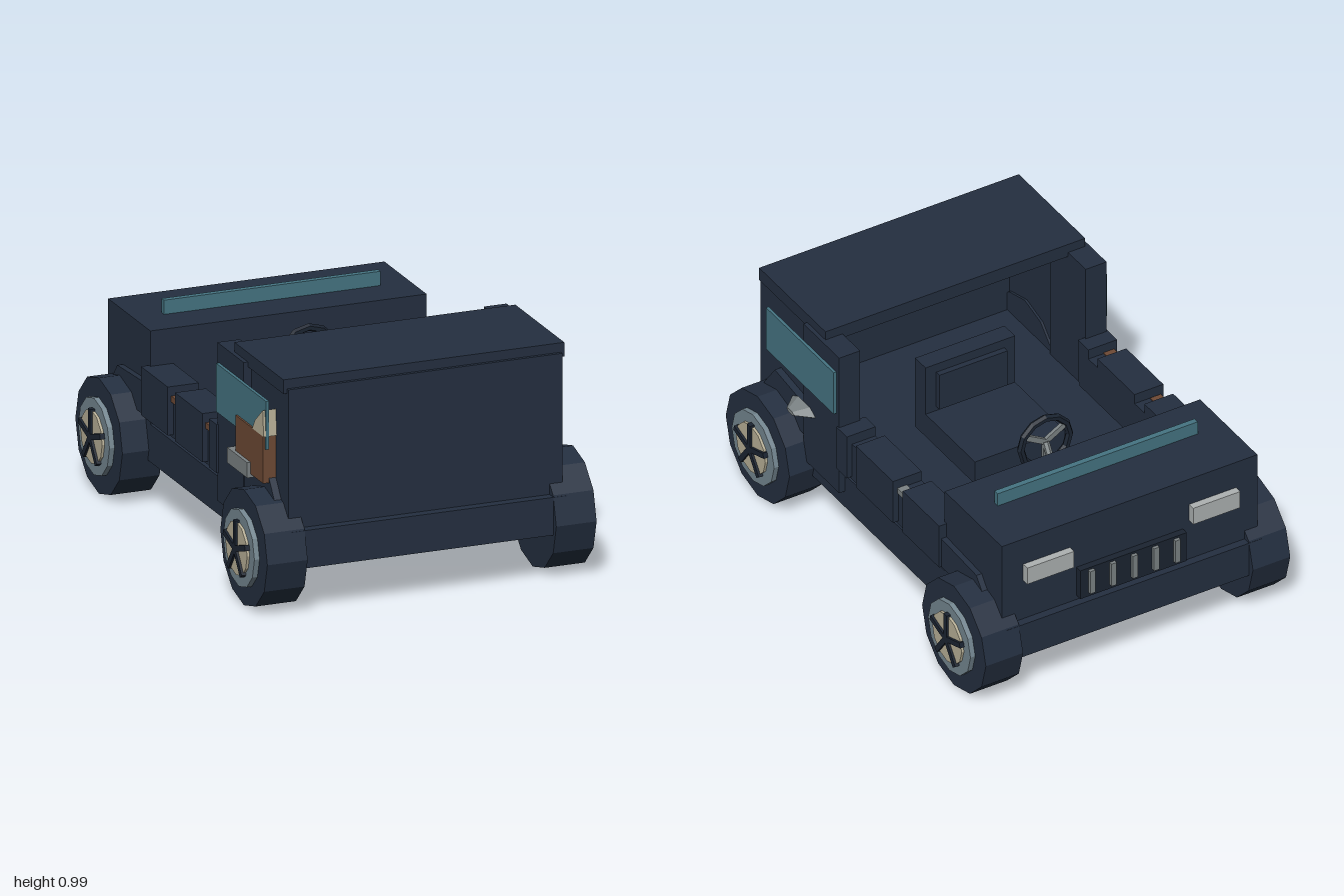
import * as THREE from 'three';

const mat = (name, color, extra = {}) =>
  Object.assign(new THREE.MeshStandardMaterial({ color, flatShading: true, ...extra }), { name });

export function createModel() {
  const car = new THREE.Group();
  car.name = 'openTruck';
  const navy = mat('navy', 0x242f40);
  const dark = mat('darkTrim', 0x1b2431);
  const teal = mat('tealGlass', 0x457482);
  const cream = mat('cream', 0xb8b097);
  const steel = mat('steelBlue', 0x748690);
  const grey = mat('grey', 0x7b8284);
  const lamp = mat('lampGrey', 0xadb2b2);
  const brown = mat('brown', 0x6e4a35);

  const add = (name, geo, material, parent = car) => {
    const m = new THREE.Mesh(geo, material);
    m.name = name;
    parent.add(m);
    return m;
  };
  // box given by its limits on each axis
  const box = (name, material, x0, x1, y0, y1, z0, z1, parent = car) => {
    const m = add(name, new THREE.BoxGeometry(x1 - x0, y1 - y0, z1 - z0), material, parent);
    m.position.set((x0 + x1) / 2, (y0 + y1) / 2, (z0 + z1) / 2);
    return m;
  };
  // the same box on both sides of the car
  const pair = (name, material, x0, x1, ...rest) => {
    box(name, material, x0, x1, ...rest);
    box(name, material, -x1, -x0, ...rest);
  };

  // Body
  box('chassis', navy, -0.6, 0.6, 0.2, 0.36, -0.97, 0.97);
  box('hood', navy, -0.6, 0.6, 0.36, 0.755, -0.935, -0.495);
  box('cabinEndWall', navy, -0.595, 0.595, 0.36, 0.95, 0.89, 0.93);
  box('roof', navy, -0.61, 0.61, 0.93, 0.99, 0.405, 0.915);
  pair('cabinSideWall', navy, 0.55, 0.595, 0.36, 0.93, 0.5, 0.89);
  pair('pillar', navy, 0.53, 0.628, 0.28, 0.95, 0.27, 0.545);

  // Side panels with raised pads
  pair('sidePanel', navy, 0.5, 0.61, 0.385, 0.56, -0.5, 0.27);
  for (const [z0, z1] of [[-0.51, -0.23], [-0.155, 0.13], [0.2, 0.28]])
    pair('sidePad', navy, 0.5, 0.635, 0.4, 0.605, z0, z1);
  box('sideLatch', grey, 0.57, 0.615, 0.54, 0.565, -0.23, -0.155);
  for (const z of [-0.23, 0.13]) box('sideLatch', brown, -0.62, -0.57, 0.54, 0.565, z, z + 0.07);

  // Fenders, profiles drawn as (z, y)
  const fenders = [
    [[0.9, 0.4], [0.83, 0.5], [0.77, 0.58], [0.55, 0.55], [0.5, 0.4]],
    [[-0.49, 0.4], [-0.49, 0.54], [-0.78, 0.525], [-0.84, 0.45], [-0.86, 0.4]],
  ];
  for (const pts of fenders) for (const x of [0.58, -0.625]) {
    const shape = new THREE.Shape(pts.map(([z, y]) => new THREE.Vector2(-z, y)));
    const geo = new THREE.ExtrudeGeometry(shape, { depth: 0.045, bevelEnabled: false });
    geo.rotateY(Math.PI / 2);
    add('fender', geo, navy).position.x = x;
  }

  // Glass
  pair('sideWindow', teal, 0.629, 0.642, 0.665, 0.87, 0.29, 0.81);
  box('windscreen', teal, -0.47, 0.47, 0.75, 0.815, -0.69, -0.665);

  // Hood end: headlights and grille
  pair('headlight', lamp, 0.28, 0.5, 0.55, 0.63, -0.967, -0.93);
  box('grillePlate', dark, -0.25, 0.25, 0.38, 0.52, -0.965, -0.93);
  for (let i = -2; i <= 2; i++)
    box('grilleBar', grey, i * 0.1 - 0.012, i * 0.1 + 0.012, 0.4, 0.51, -0.98, -0.96);

  // Side handles and the stowed panel
  const handle = add('leftHandle', new THREE.CylinderGeometry(0.03, 0.09, 0.065, 6), grey);
  handle.geometry.rotateZ(-Math.PI / 2);
  handle.geometry.scale(1, 0.33, 1);
  handle.position.set(0.66, 0.54, 0.54);
  box('rightHandle', grey, -0.665, -0.6, 0.505, 0.57, 0.46, 0.67);
  box('stowedPanel', brown, -0.65, -0.59, 0.52, 0.72, 0.51, 0.8);
  const flap = new THREE.Shape([[-0.81, 0.72], [-0.69, 0.72], [-0.72, 0.765], [-0.8, 0.83]]
    .map(([z, y]) => new THREE.Vector2(z, y)));
  const flapGeo = new THREE.ExtrudeGeometry(flap, { depth: 0.06, bevelEnabled: false });
  flapGeo.rotateY(Math.PI / 2);
  add('panelFlap', flapGeo, cream).position.x = -0.652;

  // Seat
  box('seatCushion', navy, -0.21, 0.21, 0.39, 0.5, -0.09, 0.33);
  box('seatBack', navy, -0.21, 0.21, 0.39, 0.73, 0.29, 0.37);
  box('seatBackPad', navy, -0.16, 0.16, 0.52, 0.69, 0.265, 0.29);

  // Steering
  const steering = new THREE.Group();
  steering.name = 'steeringWheel';
  steering.position.set(0, 0.645, -0.285);
  car.add(steering);
  add('steeringRim', new THREE.TorusGeometry(0.114, 0.016, 6, 12), dark, steering);
  for (let i = 0; i < 3; i++) {
    const spoke = box('steeringSpoke', grey, -0.012, 0.012, 0, 0.11, -0.008, 0.008, steering);
    spoke.geometry.translate(0, 0.055, 0);
    spoke.position.set(0, 0, 0);
    spoke.rotation.z = Math.PI / 3 + i * Math.PI * 2 / 3;
  }
  const a = new THREE.Vector3(0, 0.645, -0.29), b = new THREE.Vector3(0, 0.365, -0.465);
  const column = add('steeringColumn', new THREE.CylinderGeometry(0.015, 0.015, a.distanceTo(b), 6), grey);
  column.position.copy(a).add(b).multiplyScalar(0.5);
  column.quaternion.setFromUnitVectors(new THREE.Vector3(0, 1, 0), a.clone().sub(b).normalize());

  // Wheels, each built facing +x
  const disc = (name, r, x0, x1, material, parent) => {
    const geo = new THREE.CylinderGeometry(r, r, x1 - x0, 12);
    geo.rotateZ(-Math.PI / 2);
    add(name, geo, material, parent).position.x = (x0 + x1) / 2;
  };
  for (const side of [1, -1]) for (const z of [0.755, -0.755]) {
    const wheel = new THREE.Group();
    wheel.name = 'wheel';
    disc('tyre', 0.245, 0.54, 0.715, navy, wheel);
    disc('rim', 0.163, 0.7, 0.737, steel, wheel);
    disc('hubCap', 0.113, 0.73, 0.748, cream, wheel);
    for (let i = 0; i < 5; i++) {
      const spoke = add('wheelSpoke', new THREE.BoxGeometry(0.02, 0.12, 0.024), dark, wheel);
      spoke.geometry.translate(0.748, 0.06, 0);
      spoke.rotation.x = i * Math.PI * 2 / 5;
    }
    wheel.position.set(0, 0.245, z);
    if (side < 0) wheel.rotation.y = Math.PI;
    car.add(wheel);
  }
  return car;
}
